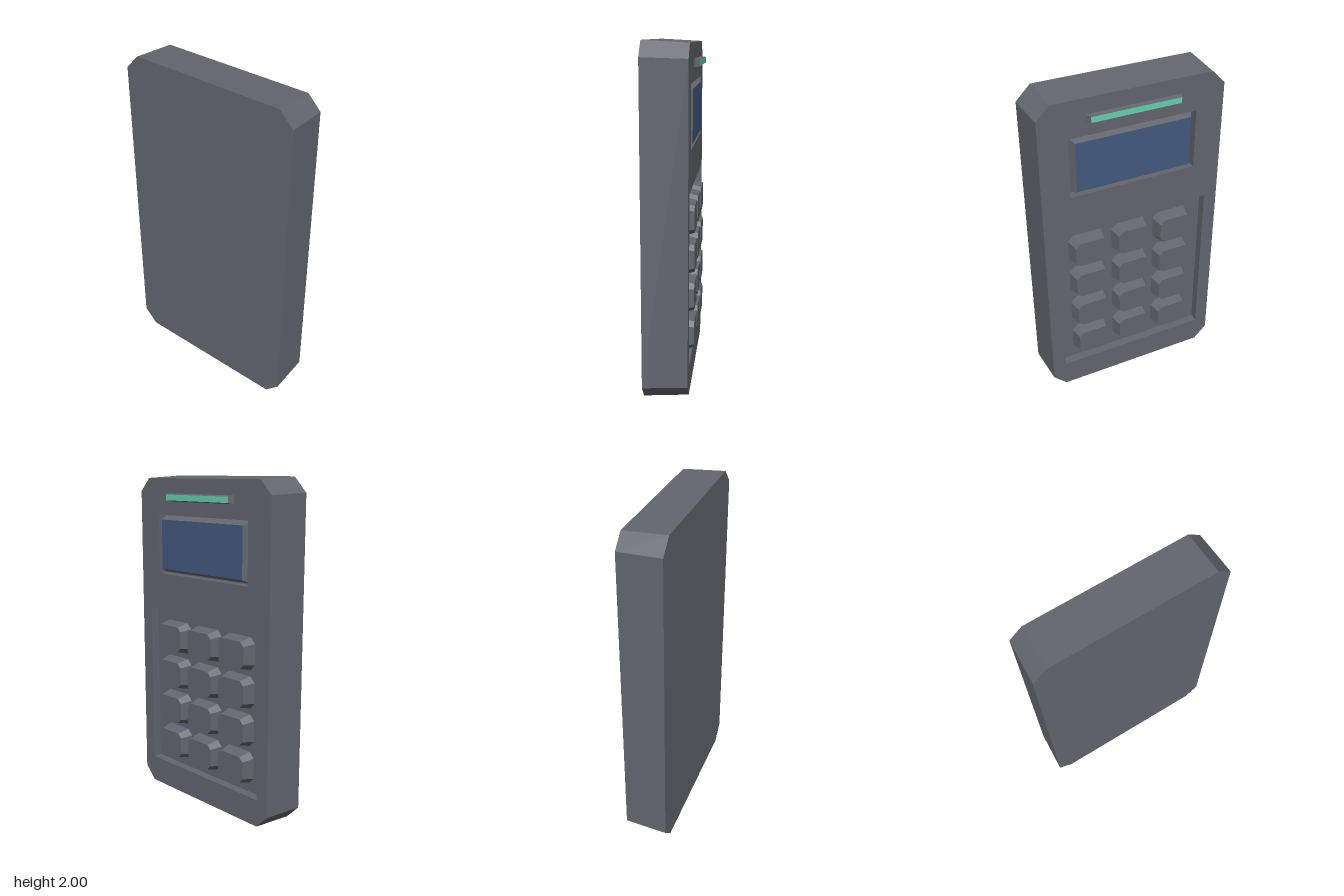
import * as THREE from 'three';
import { mergeGeometries } from 'three/addons/utils/BufferGeometryUtils.js';

const FRONT = -0.109, BACK = 0.148, FLOOR = -0.055;

// Rectangle with optional cut corners, counter-clockwise seen from +z
function outline(cx, cy, hw, hh, c = 0) {
  const pts = c === 0
    ? [[-hw, -hh], [hw, -hh], [hw, hh], [-hw, hh]]
    : [[-hw + c, -hh], [hw - c, -hh], [hw, -hh + c], [hw, hh - c],
       [hw - c, hh], [-hw + c, hh], [-hw, hh - c], [-hw, -hh + c]];
  return pts.map(([x, y]) => new THREE.Vector2(cx + x, cy + y));
}

// Side walls between a loop at zA and a loop nearer the keypad side at zB
function walls(a, zA, b, zB, inward = false) {
  const pos = [], n = a.length;
  for (let i = 0; i < n; i++) {
    const j = (i + 1) % n;
    const a0 = [a[i].x, a[i].y, zA], a1 = [a[j].x, a[j].y, zA];
    const b0 = [b[i].x, b[i].y, zB], b1 = [b[j].x, b[j].y, zB];
    const quad = inward ? [a0, b1, b0, a0, a1, b1] : [a0, b0, b1, a0, b1, a1];
    pos.push(...quad.flat());
  }
  const g = new THREE.BufferGeometry();
  g.setAttribute('position', new THREE.Float32BufferAttribute(pos, 3));
  g.computeVertexNormals();
  return g;
}

// Flat face at z, facing -z unless facingBack is set
function cap(loop, z, holes = [], facingBack = false) {
  const shape = new THREE.Shape(loop);
  shape.holes = holes.map((h) => new THREE.Path(h));
  const g = new THREE.ShapeGeometry(shape);
  if (!facingBack) g.setIndex(Array.from(g.index.array).reverse());
  g.translate(0, 0, z);
  const flat = g.toNonIndexed();
  flat.deleteAttribute('uv');
  flat.computeVertexNormals();
  return flat;
}

export function createModel() {
  const grey = new THREE.MeshStandardMaterial({ color: 0x63666e });
  const blue = new THREE.MeshStandardMaterial({ color: 0x435a80 });
  const green = new THREE.MeshStandardMaterial({ color: 0x66d0b0 });
  grey.name = 'casing grey';
  blue.name = 'display blue';
  green.name = 'indicator green';

  const model = new THREE.Group();
  model.name = 'keypadTerminal';
  const add = (name, parts, material, parent = model) => {
    const mesh = new THREE.Mesh(parts.length > 1 ? mergeGeometries(parts) : parts[0], material);
    mesh.name = name;
    parent.add(mesh);
    return mesh;
  };

  // Tapered casing with two rectangular recesses
  const rear = outline(0, 1, 0.57, 1, 0.086);
  const face = outline(0, 1, 0.557, 0.986, 0.08);
  const keyRecess = outline(0, 0.682, 0.475, 0.503);
  const screenRecess = outline(0, 1.59, 0.386, 0.18);
  const casing = [
    cap(rear, BACK, [], true),
    walls(rear, BACK, face, FRONT),
    cap(face, FRONT, [keyRecess, screenRecess]),
  ];
  for (const recess of [keyRecess, screenRecess]) {
    casing.push(walls(recess, FLOOR, recess, FRONT, true), cap(recess, FLOOR));
  }
  add('casing', casing, grey);

  // Bevelled display panel with a blue face
  const display = new THREE.Group();
  display.name = 'display';
  model.add(display);
  const panelFront = outline(0, 1.59, 0.35, 0.15);
  add('displayBezel', [walls(outline(0, 1.59, 0.378, 0.173), FLOOR, panelFront, -0.116)], grey, display);
  add('displayFace', [cap(panelFront, -0.116)], blue, display);

  // Indicator bar, standing just clear of the casing
  const indicator = new THREE.Group();
  indicator.name = 'indicator';
  model.add(indicator);
  const barRear = outline(0, 1.875, 0.284, 0.023);
  const barFront = outline(0, 1.875, 0.268, 0.017);
  add('indicatorHousing', [cap(barRear, -0.118, [], true), walls(barRear, -0.118, barFront, -0.148)], grey, indicator);
  add('indicatorLight', [cap(barFront, -0.148)], green, indicator);

  // Twelve tapered keys with cut corners
  const keys = new THREE.Group();
  keys.name = 'keys';
  model.add(keys);
  const base = outline(0, 0, 0.121, 0.096, 0.034);
  const top = outline(0, 0, 0.103, 0.078, 0.026);
  const keyGeometry = mergeGeometries([walls(base, FLOOR, top, -0.13), cap(top, -0.13)]);
  for (let row = 0; row < 4; row++) {
    for (let col = -1; col <= 1; col++) {
      const key = add('key', [keyGeometry], grey, keys);
      key.position.set(col * 0.275, 1.017 - row * 0.228, 0);
    }
  }
  return model;
}
